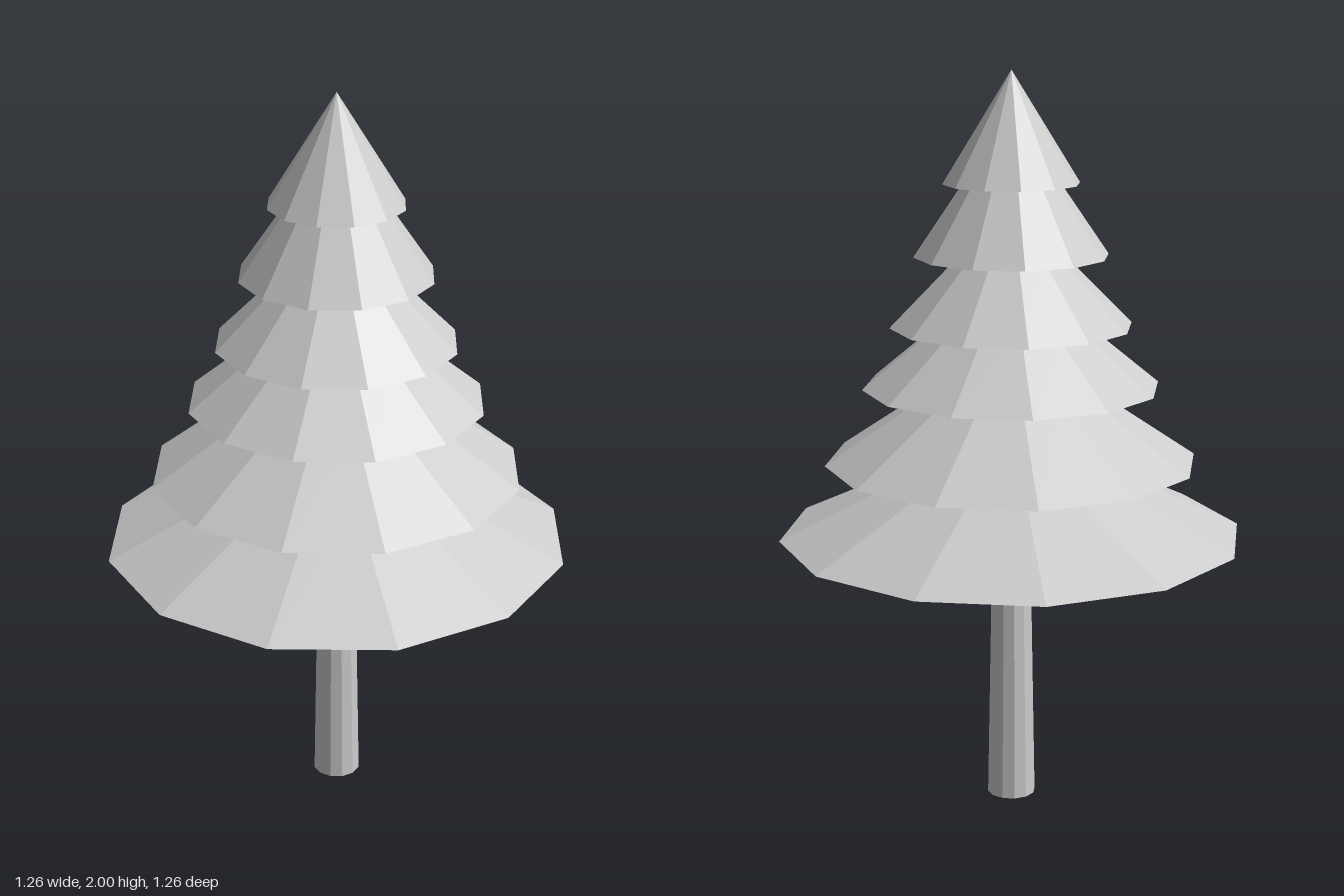
import * as THREE from 'three';

const SIDES = 12;

export function createModel() {
  const tree = new THREE.Group();
  tree.name = 'pineTree';
  const grey = new THREE.MeshStandardMaterial({ color: 0xcccccc, flatShading: true, side: THREE.DoubleSide });
  grey.name = 'light grey';

  // Tapered tier of the given base height, top height, base radius and top radius
  const addTier = (name, y0, y1, r0, r1, open) => {
    const geometry = new THREE.CylinderGeometry(r1, r0, y1 - y0, SIDES, 1, open);
    geometry.translate(0, (y0 + y1) / 2, 0);
    const mesh = new THREE.Mesh(geometry, grey);
    mesh.name = name;
    tree.add(mesh);
  };

  // Hollow trunk, open at the foot
  addTier('trunk', 0, 0.755, 0.066, 0.052, true);

  // Foliage tiers, each capped below and tucked under the next: [base y, base radius, top radius]
  const tiers = [
    [0.755, 0.63, 0.2],
    [0.96, 0.503, 0.2],
    [1.165, 0.4, 0.2],
    [1.33, 0.325, 0.14],
    [1.517, 0.26, 0.13],
    [1.707, 0.182, 0],
  ];
  tiers.forEach(([y, r0, r1], i) => {
    const top = i + 1 < tiers.length ? tiers[i + 1][0] : 2;
    // An open frustum plus one underside disc avoids doubled faces between tiers
    addTier(`foliageTier${i + 1}`, y, top, r0, r1, true);
    const under = new THREE.CircleGeometry(r0, SIDES);
    under.rotateX(Math.PI / 2);
    under.translate(0, y, 0);
    const disc = new THREE.Mesh(under, grey);
    disc.name = `foliageUnderside${i + 1}`;
    tree.add(disc);
  });

  return tree;
}
